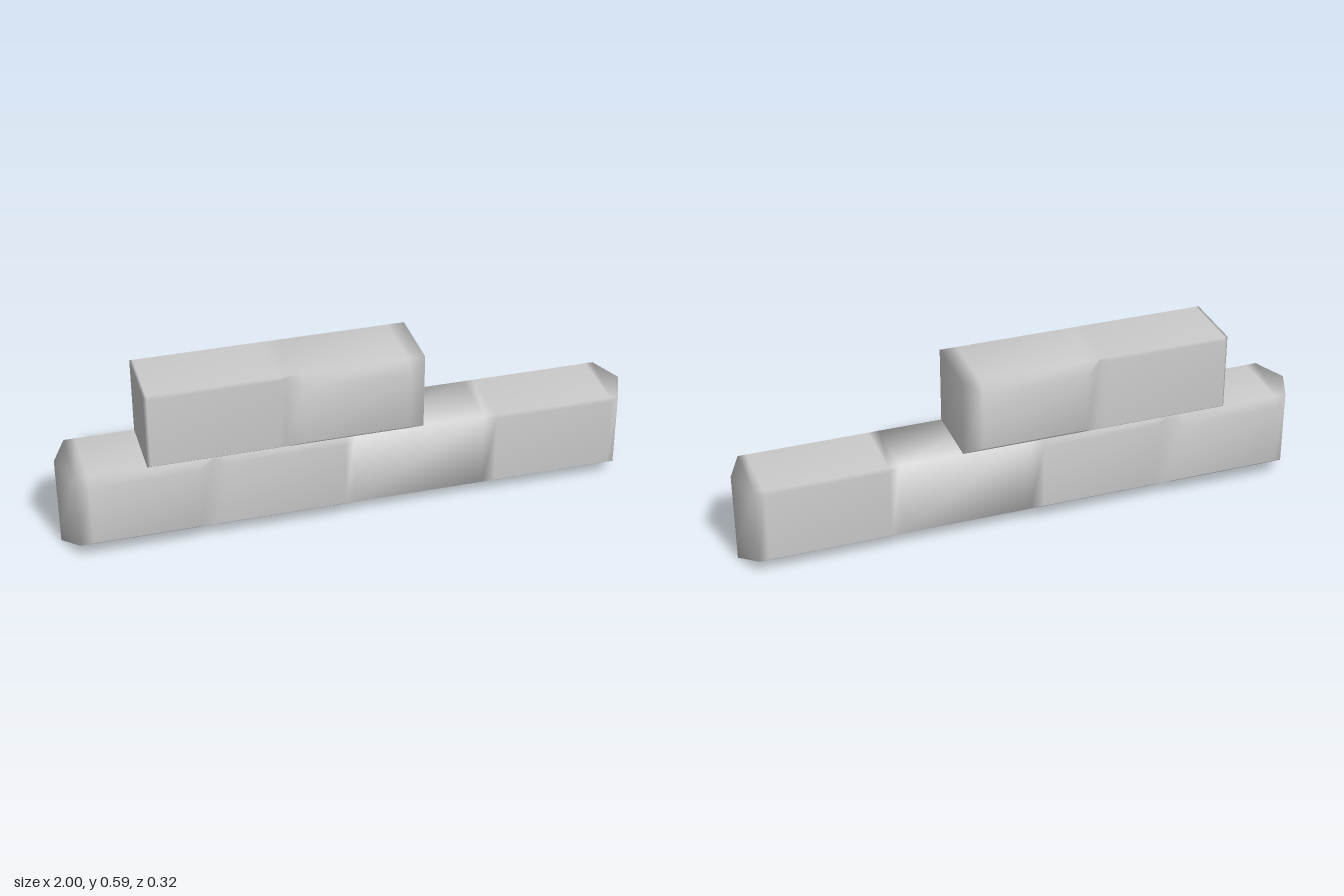
import * as THREE from 'three';
import { mergeVertices } from 'three/addons/utils/BufferGeometryUtils.js';

const material = new THREE.MeshStandardMaterial({ color: 0xcccccc, side: THREE.DoubleSide });
const EDGE = 0.12; // half depth of every course along its top and bottom edges

// Half outline (z, y) of a course that bulges to half depth w, chamfered above and below
function halfOutline(w, low, high) {
  const drop = Math.max(0, (w - EDGE) * 0.78);
  const e = Math.min(EDGE, w);
  return [[e, low], [w, low + drop], [w, high - drop], [e, high]];
}

// Lofts a course along x through stations [x, half depth]; keel adds a ridge below at y = keel
function courseGeometry(stations, low, high, keel) {
  const rings = stations.map(([x, w]) => {
    const half = halfOutline(w, low, high);
    const ring = [...half, ...half.map(([z, y]) => [-z, y]).reverse()];
    if (keel !== undefined) { ring.unshift([0, keel]); ring.push([0, keel]); }
    return ring.map(([z, y]) => [x, y, z]);
  });
  const n = rings[0].length;
  const index = [];
  for (let i = 0; i < rings.length - 1; i++) {
    for (let j = 0; j < n - 1; j++) {
      const a = i * n + j, d = a + n;
      index.push(a, d, d + 1, a, d + 1, a + 1);
    }
  }
  // End caps
  const last = (rings.length - 1) * n;
  for (let j = 1; j < n - 1; j++) {
    index.push(0, j, j + 1, last, last + j + 1, last + j);
  }
  let geometry = new THREE.BufferGeometry();
  geometry.setAttribute('position', new THREE.Float32BufferAttribute(rings.flat(2), 3));
  geometry.setIndex(index);
  geometry = mergeVertices(geometry, 1e-4);
  geometry.computeVertexNormals();
  return geometry;
}

function addCourse(group, name, ...args) {
  const mesh = new THREE.Mesh(courseGeometry(...args), material);
  mesh.name = name;
  group.add(mesh);
}

export function createModel() {
  const group = new THREE.Group();
  group.name = 'stoneWall';

  // Long lower course: three bulging stones, a plain stretch, pointed ends and a keel
  addCourse(group, 'lowerCourse', [
    [-1, 0], [-0.95, EDGE],
    [-0.91, 0.153], [-0.55, 0.153], [-0.49, 0.125],
    [-0.45, 0.142], [-0.04, 0.142], [0, EDGE],
    [0.46, EDGE], [0.5, 0.133], [0.92, 0.133],
    [0.95, EDGE], [1, 0],
  ], 0.05, 0.32, 0);

  // Short upper course: a shallow stone and a deeper one, square ends, open underneath
  addCourse(group, 'upperCourse', [
    [-0.71, EDGE], [-0.7, 0.131], [-0.27, 0.131],
    [-0.24, 0.124], [-0.185, 0.162], [0.18, 0.162], [0.24, EDGE],
  ], 0.32, 0.592);

  return group;
}
